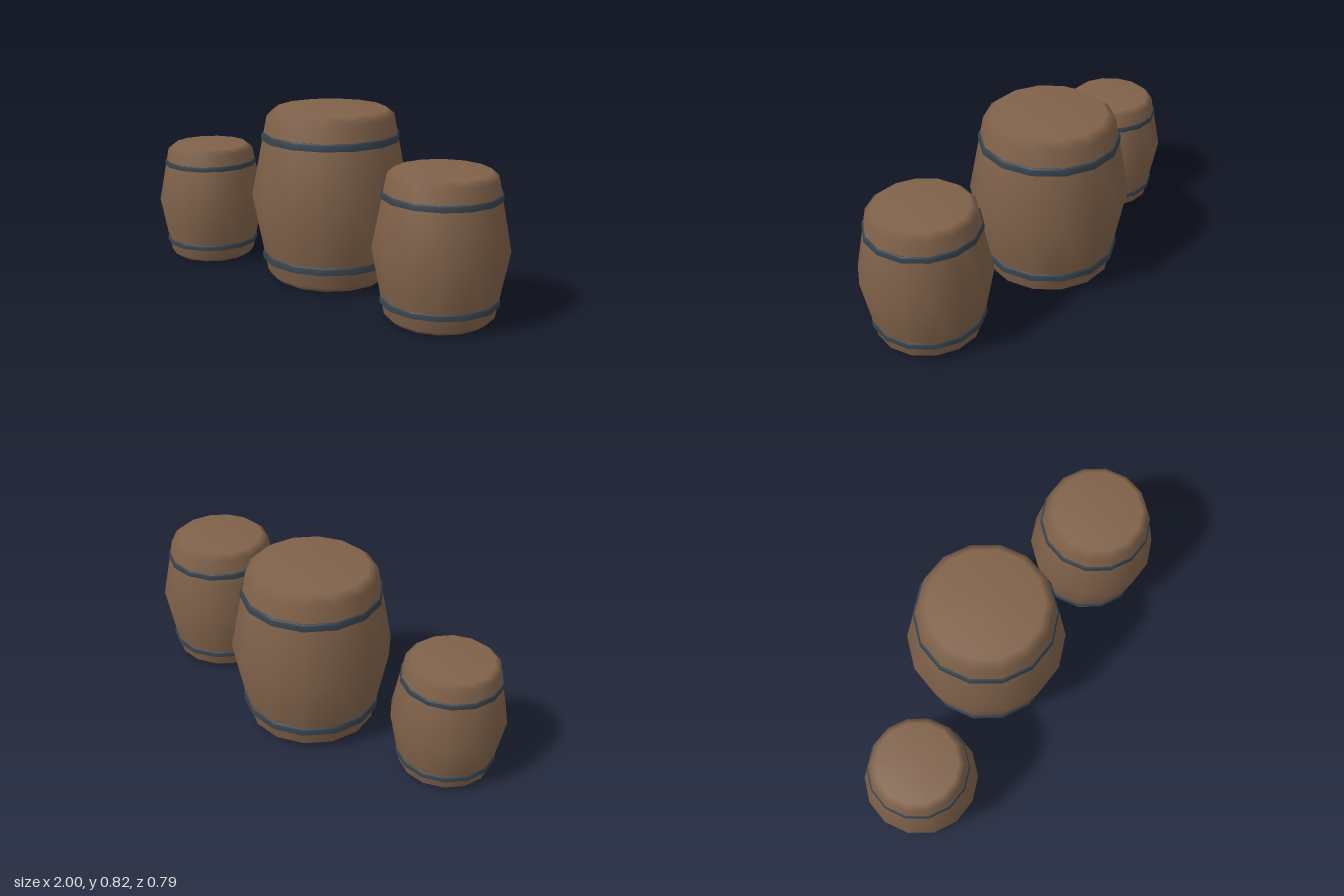
import * as THREE from 'three';

const SIDES = 14;

// Revolves a [radius, height] profile, with corners on the x axis.
function revolve(profile) {
  const points = profile.map(([r, y]) => new THREE.Vector2(r, y));
  return new THREE.LatheGeometry(points, SIDES, Math.PI / 2);
}

export function createModel() {
  const wood = new THREE.MeshStandardMaterial({ name: 'brownWood', color: 0x80624a });
  const iron = new THREE.MeshStandardMaterial({ name: 'darkIron', color: 0x36424c });

  // Bulging body, closed at both ends
  const bodyGeometry = revolve([
    [0, 0], [0.262, 0], [0.302, 0.032], [0.375, 0.41],
    [0.302, 0.788], [0.262, 0.82], [0, 0.82],
  ]);

  // Hoop with a small bevel on its upper edge; corners doubled to stay sharp
  const hoopGeometry = revolve([
    [0.3, -0.017], [0.328, -0.017], [0.328, -0.017], [0.328, 0.009],
    [0.321, 0.017], [0.321, 0.017], [0.3, 0.017],
  ]);

  function makeBarrel(name, x, z, size) {
    const barrel = new THREE.Group();
    barrel.name = name;
    const body = new THREE.Mesh(bodyGeometry, wood);
    body.name = 'barrelBody';
    barrel.add(body);
    for (const [hoopName, y] of [['lowerHoop', 0.116], ['upperHoop', 0.692]]) {
      const hoop = new THREE.Mesh(hoopGeometry, iron);
      hoop.name = hoopName;
      hoop.position.y = y;
      barrel.add(hoop);
    }
    barrel.position.set(x, 0, z);
    barrel.scale.setScalar(size);
    return barrel;
  }

  const model = new THREE.Group();
  model.name = 'barrels';
  model.add(
    makeBarrel('largeBarrel', -0.039, -0.027, 1),
    makeBarrel('mediumBarrel', 0.7, 0.055, 0.8),
    makeBarrel('smallBarrel', -0.7375, 0.138, 0.7),
  );
  return model;
}
